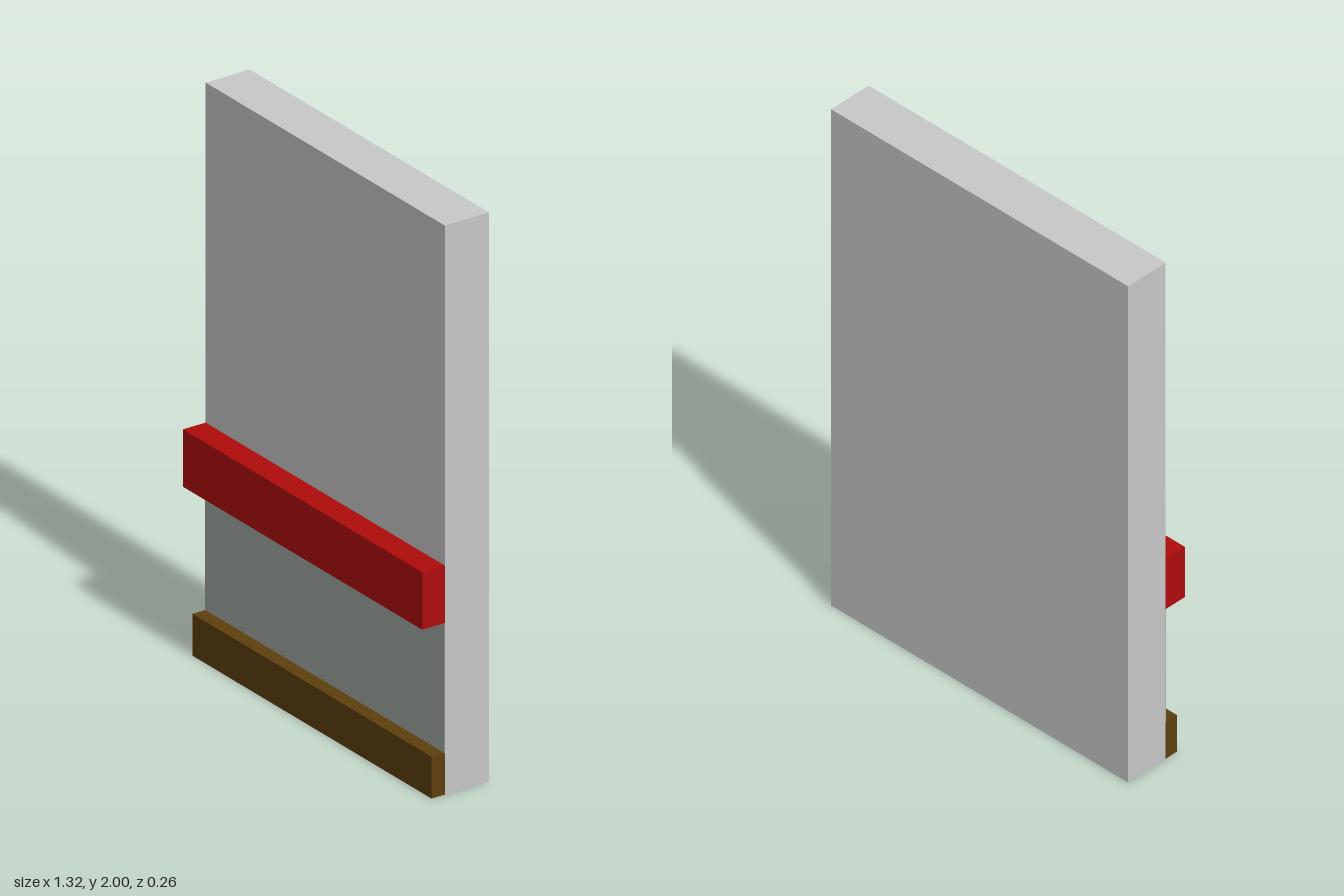
import * as THREE from 'three';

const WIDTH = 1.32;

function material(name, color) {
  const m = new THREE.MeshStandardMaterial({ color });
  m.name = name;
  return m;
}

// Full-width box spanning y0..y1 and z0..z1
function slab(name, mat, y0, y1, z0, z1) {
  const mesh = new THREE.Mesh(new THREE.BoxGeometry(WIDTH, y1 - y0, z1 - z0), mat);
  mesh.position.set(0, (y0 + y1) / 2, (z0 + z1) / 2);
  mesh.name = name;
  return mesh;
}

export function createModel() {
  const group = new THREE.Group();
  group.name = 'wallPanel';

  const plaster = material('light grey plaster', 0xc8c8c8);
  const paint = material('grey green paint', 0xa0a8a0);
  const red = material('red rail', 0xb00c0c);
  const wood = material('brown wood', 0x5e3f0e);

  group.add(
    slab('wall', plaster, 0, 2, -0.13, 0.042),
    // Painted band between skirting and rail
    slab('lowerPanel', paint, 0.145, 0.603, 0.042, 0.044),
    slab('bumperRail', red, 0.603, 0.805, 0.042, 0.13),
    slab('skirtingBoard', wood, 0, 0.147, 0.042, 0.094),
  );
  return group;
}
